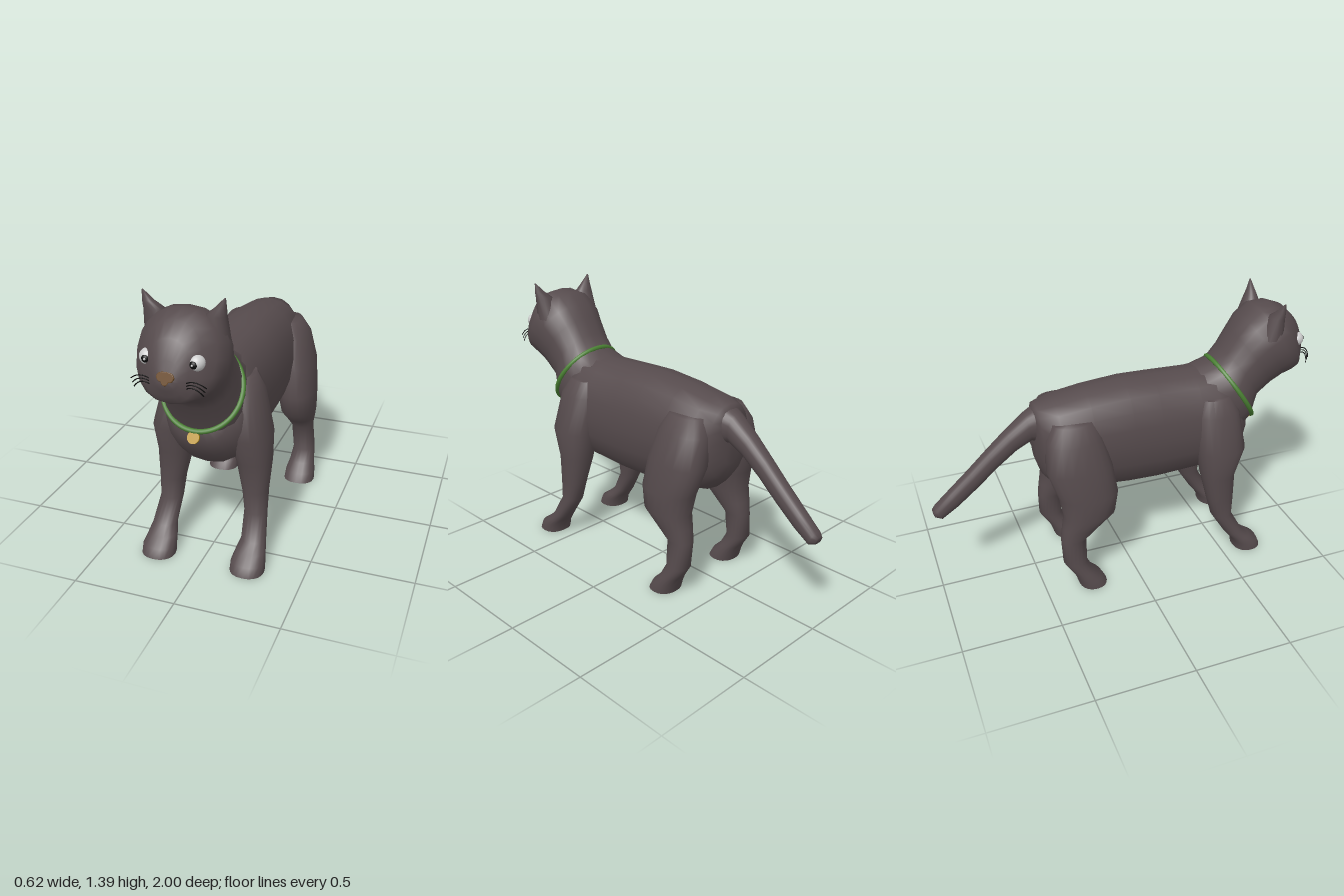
import * as THREE from 'three';
import { toCreasedNormals } from 'three/addons/utils/BufferGeometryUtils.js';

const paint = (color) => new THREE.MeshStandardMaterial({ color });
const fur = paint(0x564b4d), white = paint(0xcccccc), black = paint(0x0c0c0c);
const green = paint(0x4a8033), gold = paint(0xb8900f), brown = paint(0x6b4a26);

// Closed skin over oval rings. Ring: [x, zA, yA, zB, yB, halfWidth], A and B being opposite points.
function loft(rings, crease = 1.1, n = 20) {
  const pos = [], idx = [];
  for (const [x, za, ya, zb, yb, w] of rings) {
    for (let i = 0; i < n; i++) {
      const t = (i / n) * Math.PI * 2;
      const bulge = (v) => Math.sign(v) * Math.abs(v) ** 0.88;
      const c = bulge(Math.cos(t)), s = bulge(Math.sin(t));
      pos.push(x + w * c, (ya + yb) / 2 + (s * (ya - yb)) / 2, (za + zb) / 2 + (s * (za - zb)) / 2);
    }
  }
  const last = rings.length - 1;
  for (let r = 0; r < last; r++) {
    for (let i = 0; i < n; i++) {
      const a = r * n + i, b = r * n + ((i + 1) % n);
      idx.push(a, b, b + n, a, b + n, a + n);
    }
  }
  // end caps
  for (const r of [0, last]) {
    const [x, za, ya, zb, yb] = rings[r];
    const c = pos.length / 3;
    pos.push(x, (ya + yb) / 2, (za + zb) / 2);
    for (let i = 0; i < n; i++) {
      const a = r * n + i, b = r * n + ((i + 1) % n);
      idx.push(...(r ? [c, a, b] : [c, b, a]));
    }
  }
  // turn the faces outward
  const p = (i) => new THREE.Vector3().fromArray(pos, i * 3);
  let volume = 0;
  for (let i = 0; i < idx.length; i += 3) volume += p(idx[i]).dot(p(idx[i + 1]).cross(p(idx[i + 2])));
  if (volume < 0) idx.reverse();
  const g = new THREE.BufferGeometry();
  g.setAttribute('position', new THREE.Float32BufferAttribute(pos, 3));
  g.setIndex(idx);
  return toCreasedNormals(g, crease);
}

const centred = (rings) => rings.map((r) => [0, ...r]);
const sided = (rings, s) => rings.map(([x, ...r]) => [x * s, ...r]);
// Upright limb rings: [y, x, zFront, zBack, halfWidth]
const limb = (rings) => rings.map(([y, x, zf, zb, w]) => [x, zf, y, zb, y, w]);

const BODY = centred([
  [-0.47, 0.96, -0.465, 0.68, 0.06], [-0.45, 0.985, -0.44, 0.6, 0.14],
  [-0.36, 1.005, -0.38, 0.53, 0.195], [-0.2, 1.03, -0.2, 0.485, 0.205],
  [0, 1.045, 0, 0.465, 0.21], [0.15, 1.04, 0.15, 0.46, 0.212],
  [0.37, 1.03, 0.37, 0.47, 0.212], [0.46, 1.035, 0.5, 0.475, 0.22],
  [0.5, 1.03, 0.56, 0.495, 0.215], [0.53, 0.99, 0.64, 0.57, 0.19],
  [0.56, 0.95, 0.685, 0.65, 0.14], [0.6, 0.88, 0.7, 0.72, 0.06],
]);
const HEAD = centred([
  [0.4, 1.03, 0.61, 0.62, 0.19], [0.5, 1.055, 0.7, 0.735, 0.185],
  [0.55, 1.12, 0.73, 0.85, 0.17], [0.6, 1.2, 0.8, 0.91, 0.18],
  [0.65, 1.27, 0.86, 0.95, 0.198], [0.72, 1.325, 0.91, 0.965, 0.203],
  [0.79, 1.337, 0.955, 0.975, 0.175], [0.87, 1.31, 0.968, 0.985, 0.13],
  [0.93, 1.25, 0.98, 1.015, 0.09], [0.965, 1.17, 0.99, 1.045, 0.055],
  [0.985, 1.12, 1, 1.075, 0.025],
]);
const TAIL = centred([
  [-0.42, 0.99, -0.42, 0.78, 0.09], [-0.5, 0.945, -0.48, 0.8, 0.065],
  [-0.6, 0.865, -0.56, 0.755, 0.055], [-0.7, 0.775, -0.66, 0.675, 0.048],
  [-0.8, 0.68, -0.76, 0.585, 0.045], [-0.91, 0.58, -0.87, 0.495, 0.042],
  [-0.985, 0.51, -0.955, 0.44, 0.04], [-1, 0.49, -0.99, 0.455, 0.025],
]);
const FRONT_LEG = limb([
  [0.93, 0.14, 0.53, 0.37, 0.06], [0.85, 0.15, 0.58, 0.34, 0.092],
  [0.65, 0.185, 0.61, 0.35, 0.105], [0.5, 0.2, 0.555, 0.375, 0.085],
  [0.35, 0.212, 0.555, 0.41, 0.062], [0.24, 0.218, 0.55, 0.44, 0.055],
  [0.12, 0.23, 0.615, 0.515, 0.06], [0.08, 0.228, 0.66, 0.545, 0.072],
  [0.045, 0.228, 0.71, 0.57, 0.082], [0, 0.228, 0.73, 0.578, 0.083],
]);
const HIND_LEG = limb([
  [0.93, 0.13, -0.2, -0.4, 0.07], [0.85, 0.15, -0.16, -0.44, 0.1],
  [0.7, 0.185, -0.12, -0.455, 0.102], [0.55, 0.205, -0.1, -0.405, 0.1],
  [0.44, 0.215, -0.12, -0.385, 0.09], [0.37, 0.215, -0.2, -0.395, 0.075],
  [0.3, 0.215, -0.275, -0.405, 0.058], [0.16, 0.228, -0.28, -0.4, 0.058],
  [0.09, 0.228, -0.245, -0.355, 0.068], [0.045, 0.228, -0.2, -0.335, 0.08],
  [0, 0.228, -0.175, -0.322, 0.083],
]);
const EAR = limb([
  [1.2, 0.13, 0.81, 0.69, 0.058], [1.31, 0.138, 0.805, 0.735, 0.046],
  [1.345, 0.16, 0.798, 0.76, 0.026], [1.39, 0.181, 0.787, 0.78, 0.003],
]);

export function createModel() {
  const cat = new THREE.Group();
  cat.name = 'cat';
  const add = (name, geometry, material, x = 0, y = 0, z = 0) => {
    const m = new THREE.Mesh(geometry, material);
    m.name = name;
    m.position.set(x, y, z);
    cat.add(m);
    return m;
  };

  add('body', loft(BODY), fur);
  add('headAndNeck', loft(HEAD), fur);
  add('tail', loft(TAIL), fur);

  for (const [side, s] of [['left', 1], ['right', -1]]) {
    add(side + 'FrontLeg', loft(sided(FRONT_LEG, s)), fur);
    add(side + 'HindLeg', loft(sided(HIND_LEG, s)), fur);
    add(side + 'Ear', loft(sided(EAR, s), 1.1, 12), fur);

    // eye with pupil and glint
    add(side + 'Eye', new THREE.SphereGeometry(0.036, 20, 14), white, s * 0.107, 1.155, 0.915);
    add(side + 'Pupil', new THREE.SphereGeometry(0.019, 16, 10), black, s * 0.105, 1.155, 0.938);
    add(side + 'Glint', new THREE.SphereGeometry(0.005, 8, 6), white, s * 0.103, 1.157, 0.956);

    // three bowed whiskers
    for (let i = 0; i < 3; i++) {
      const y = 1.075 - i * 0.012;
      const curve = new THREE.QuadraticBezierCurve3(
        new THREE.Vector3(s * 0.06, y - 0.012, 0.955),
        new THREE.Vector3(s * 0.11, y + 0.045, 0.985),
        new THREE.Vector3(s * (0.165 - i * 0.006), y - 0.006 - i * 0.006, 0.96));
      add(side + 'Whisker' + (i + 1), new THREE.TubeGeometry(curve, 10, 0.0025, 5), black);
    }
  }

  // nose: rounded wedge on the muzzle
  const nose = new THREE.Shape();
  nose.moveTo(0, 0.024);
  nose.quadraticCurveTo(0.034, 0.026, 0.036, 0.004);
  nose.quadraticCurveTo(0.03, -0.016, 0.016, -0.012);
  nose.quadraticCurveTo(0.01, -0.028, 0, -0.028);
  nose.quadraticCurveTo(-0.01, -0.028, -0.016, -0.012);
  nose.quadraticCurveTo(-0.03, -0.016, -0.036, 0.004);
  nose.quadraticCurveTo(-0.034, 0.026, 0, 0.024);
  const noseGeometry = new THREE.ExtrudeGeometry(nose, {
    depth: 0.03, bevelThickness: 0.005, bevelSize: 0.003, bevelSegments: 2, curveSegments: 5,
  });
  add('nose', noseGeometry, brown, 0, 1.092, 0.96).rotation.x = -0.3;

  // slanted collar around the neck
  const loop = [];
  for (let i = 0; i < 24; i++) {
    const t = (i / 24) * Math.PI * 2, s = Math.sin(t);
    loop.push(new THREE.Vector3(0.19 * Math.cos(t), 0.893 + 0.165 * s, 0.604 - 0.106 * s));
  }
  const ring = new THREE.CatmullRomCurve3(loop, true);
  add('collar', new THREE.TubeGeometry(ring, 64, 0.012, 8, true), green);

  // round tag hanging from the collar
  const tag = new THREE.CylinderGeometry(0.029, 0.029, 0.012, 24).rotateX(Math.PI / 2);
  add('collarTag', tag, gold, 0, 0.702, 0.723).rotation.x = -0.5;

  return cat;
}
